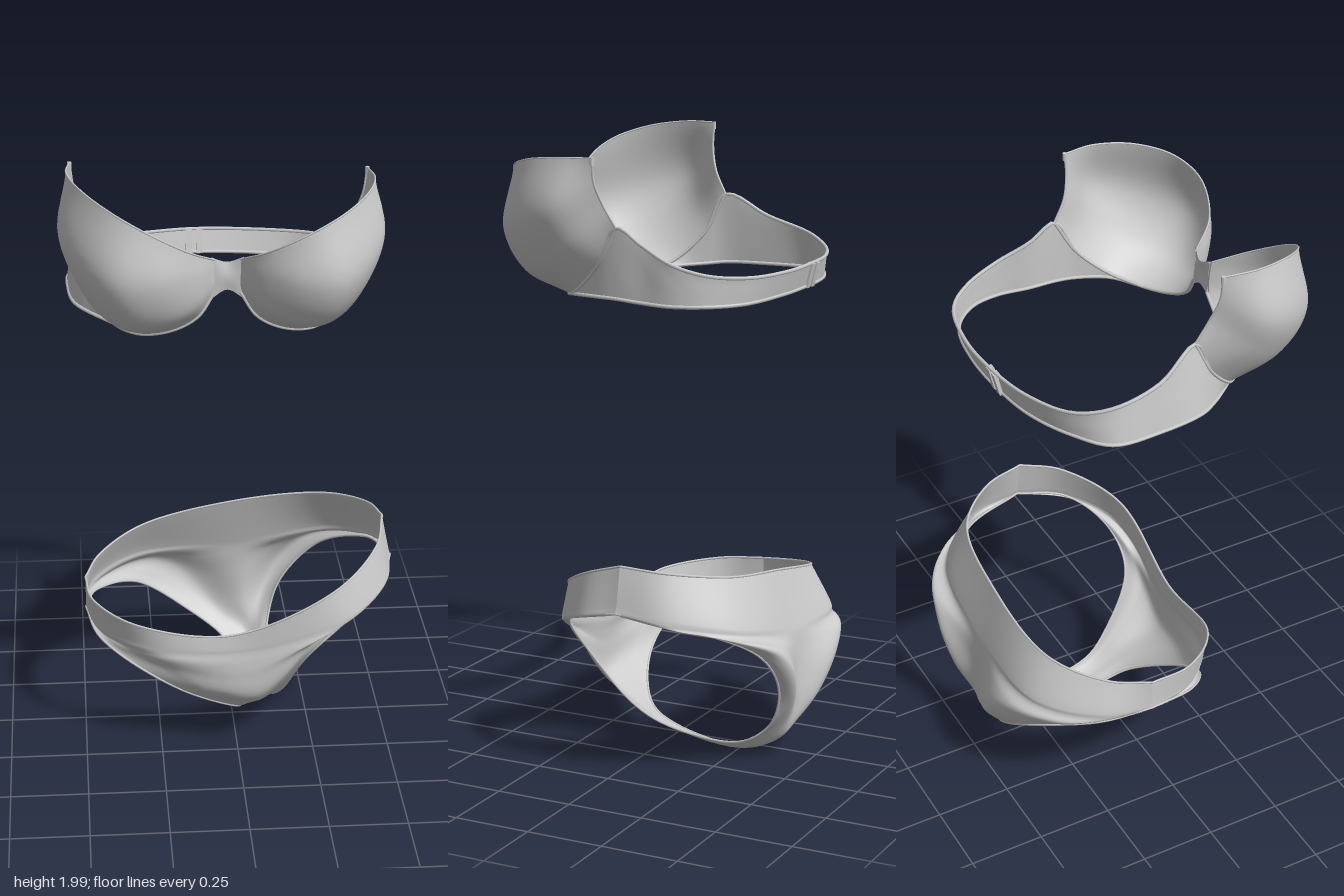
import * as THREE from 'three';

const material = new THREE.MeshStandardMaterial({ color: 0xcccccc, side: THREE.DoubleSide });
const V = (p) => new THREE.Vector3(...p);
const spline = (pts) => new THREE.CatmullRomCurve3(pts.map(V), false, 'centripetal');
const lerp = THREE.MathUtils.lerp;

function add(group, name, geometry) {
  const mesh = new THREE.Mesh(geometry, material);
  mesh.name = name;
  group.add(mesh);
  return mesh;
}

// Smooth cloth surface through a list of cross-section curves
function loft(rows, nu, nv, flip = false) {
  const sections = rows.map(spline);
  const pos = [], idx = [];
  for (let i = 0; i <= nu; i++) {
    const across = new THREE.CatmullRomCurve3(
      sections.map((s) => s.getPointAt(i / nu)), false, 'centripetal');
    for (let j = 0; j <= nv; j++) pos.push(...across.getPoint(j / nv).toArray());
  }
  for (let i = 0; i < nu; i++) {
    for (let j = 0; j < nv; j++) {
      const a = i * (nv + 1) + j, b = a + nv + 1;
      if (flip) idx.push(a, a + 1, b, b, a + 1, b + 1);
      else idx.push(a, b, a + 1, b, b + 1, a + 1);
    }
  }
  const g = new THREE.BufferGeometry();
  g.setAttribute('position', new THREE.Float32BufferAttribute(pos, 3));
  g.setIndex(idx);
  g.computeVertexNormals();
  return g;
}

const piping = (pts, r) => new THREE.TubeGeometry(spline(pts), 90, r, 6);

// Cup sections from the underwire to the top edge, each from inner to outer side
const cupRows = [
  [[0, 1.64, .33], [.05, 1.565, .335], [.13, 1.52, .32], [.23, 1.503, .275], [.31, 1.53, .2], [.355, 1.62, .1], [.37, 1.74, .03]],
  [[0, 1.67, .335], [.06, 1.62, .4], [.15, 1.58, .425], [.26, 1.57, .415], [.36, 1.61, .32], [.415, 1.7, .19], [.38, 1.81, .07]],
  [[0, 1.71, .335], [.06, 1.715, .42], [.17, 1.705, .483], [.29, 1.705, .478], [.4, 1.745, .365], [.45, 1.8, .22], [.4, 1.88, .09]],
  [[0, 1.745, .335], [.08, 1.797, .43], [.2, 1.863, .468], [.3, 1.908, .43], [.38, 1.938, .33], [.42, 1.951, .2], [.41, 1.953, .09]],
];
// The right cup is mirrored and a little larger
const toRight = ([x, y, z]) =>
  [-.08 - 1.04 * x, 1.505 + (y - 1.505) * (1 + .23 * x), z + .08 * x];

function buildTop() {
  const top = new THREE.Group();
  top.name = 'top';

  for (const [side, map] of [['left', (p) => p], ['right', toRight]]) {
    const rows = cupRows.map((r) => r.map(map));
    add(top, side + 'Cup', loft(rows, 36, 24, side === 'right'));
    add(top, side + 'Underwire', piping(rows[0], .006));
    add(top, side + 'CupTopEdge', piping(rows[3], .003));
    add(top, side + 'CupSideEdge', piping(rows.map((r) => r[6]), .004));
    // Strap stub at the outer corner
    const stub = add(top, side + 'StrapStub', new THREE.CylinderGeometry(.007, .007, .025, 8));
    stub.position.copy(V(rows[3][6]));
    stub.position.y -= .01;
  }

  // Bridge between the cups
  add(top, 'bridge', loft([
    [[.01, 1.62, .333], [-.04, 1.648, .33], [-.09, 1.62, .333]],
    [[.005, 1.69, .335], [-.04, 1.69, .335], [-.085, 1.69, .335]],
    [[.01, 1.755, .34], [-.04, 1.735, .325], [-.09, 1.755, .34]],
  ], 12, 8, true));

  // Band: follows each underwire, then tapers around the back
  const wire = cupRows[0].slice(3);
  const rightWire = wire.map(toRight).reverse();
  const bandTop = [...wire, [.372, 1.69, -.06], [.39, 1.64, -.17], [.365, 1.61, -.28], [.28, 1.6, -.375], [.1, 1.6, -.425],
    [-.1, 1.605, -.428], [-.27, 1.605, -.395], [-.42, 1.615, -.325], [-.495, 1.645, -.23], [-.505, 1.69, -.08], ...rightWire];
  const bandBottom = [wire[0], [.31, 1.515, .2], [.355, 1.52, .1], [.37, 1.52, .03], [.38, 1.515, -.06], [.395, 1.513, -.17],
    [.37, 1.515, -.27], [.28, 1.518, -.36], [.1, 1.525, -.405], [-.1, 1.53, -.41], [-.27, 1.53, -.385], [-.42, 1.53, -.32],
    [-.51, 1.525, -.24], [-.52, 1.525, -.08], [-.5, 1.525, .067], [-.46, 1.52, .135], [-.4, 1.515, .21], rightWire[3]];
  const bandMiddle = bandBottom.map((p, i) => p.map((c, k) => (c + bandTop[i][k]) / 2));
  add(top, 'band', loft([bandBottom, bandMiddle, bandTop], 110, 6));
  add(top, 'bandTopEdge', piping(bandTop, .006));
  add(top, 'bandBottomEdge', piping(bandBottom, .006));

  // Back clasp
  for (const x of [-.115, -.08]) {
    const clasp = add(top, 'clasp', new THREE.BoxGeometry(.022, .08, .02));
    clasp.position.set(x, 1.566, -.418);
    clasp.rotation.x = -.24;
  }
  return top;
}

// Lines along the briefs from front waist, under the body, to back waist.
// Each centre point also says how far the cloth beside it swells in z.
const centreLine = [
  [-.02, .432, .25, .14], [.03, .385, .255, .14], [.035, .37, .255, .14], [.04, .335, .26, .07], [.03, .285, .262, .02],
  [.06, .2, .25, .01], [.08, .115, .11, 0], [.08, .055, 0, 0], [.085, .018, -.23, 0], [.09, .045, -.35, 0], [.08, .1, -.43, 0],
  [.07, .2, -.455, -.03], [.06, .32, -.455, -.06], [.055, .39, -.45, -.12], [.05, .43, -.445, -.16], [.05, .45, -.44, -.16],
  [.05, .63, -.385, -.12],
];
const rightEdge = [
  [-.49, .5, -.08], [-.49, .405, -.08], [-.49, .39, -.08], [-.45, .365, .09], [-.35, .315, .185], [-.18, .21, .2], [0, .09, .1],
  [.03, .045, 0], [.05, .012, -.23], [.04, .03, -.33], [0, .09, -.4], [-.13, .19, -.44], [-.3, .31, -.42], [-.45, .37, -.25],
  [-.49, .39, -.08], [-.49, .405, -.08], [-.49, .5, -.08],
];
const leftEdge = [
  [.505, .71, -.05], [.53, .585, -.05], [.535, .565, -.05], [.485, .525, .12], [.35, .445, .215], [.23, .33, .22], [.16, .15, .1],
  [.13, .08, 0], [.13, .05, -.23], [.145, .08, -.33], [.155, .15, -.41], [.2, .28, -.455], [.33, .43, -.44], [.48, .53, -.27],
  [.535, .565, -.05], [.53, .585, -.05], [.505, .71, -.05],
];

function buildBriefs() {
  const briefs = new THREE.Group();
  briefs.name = 'briefs';
  const rows = centreLine.map(([x, y, z, swell], i) => {
    const bulge = Math.abs(swell);
    // Rounded cloth halfway to the edge, and the turn of the hip near it
    const halfSection = (edge, dir) => {
      const lobe = [lerp(x, edge[0], .5) + dir * .5 * bulge, lerp(y, edge[1], .5), lerp(z, edge[2], .5) + swell];
      const hip = [lerp(edge[0], lobe[0], .5) + dir * .42 * bulge, lerp(edge[1], lobe[1], .35), lerp(edge[2], lobe[2], .5)];
      return [edge, hip, lobe];
    };
    return [...halfSection(rightEdge[i], -1), [x, y, z], ...halfSection(leftEdge[i], 1).reverse()];
  });
  add(briefs, 'briefBody', loft(rows, 60, 96, true));
  // Piped hems around the waist and both leg openings
  add(briefs, 'frontWaistHem', piping(rows[0], .004));
  add(briefs, 'backWaistHem', piping(rows[16], .004));
  add(briefs, 'rightLegHem', piping(rightEdge.slice(2, 15), .004));
  add(briefs, 'leftLegHem', piping(leftEdge.slice(2, 15), .004));
  return briefs;
}

export function createModel() {
  const model = new THREE.Group();
  model.name = 'twoPieceSet';
  model.add(buildTop(), buildBriefs());
  return model;
}
